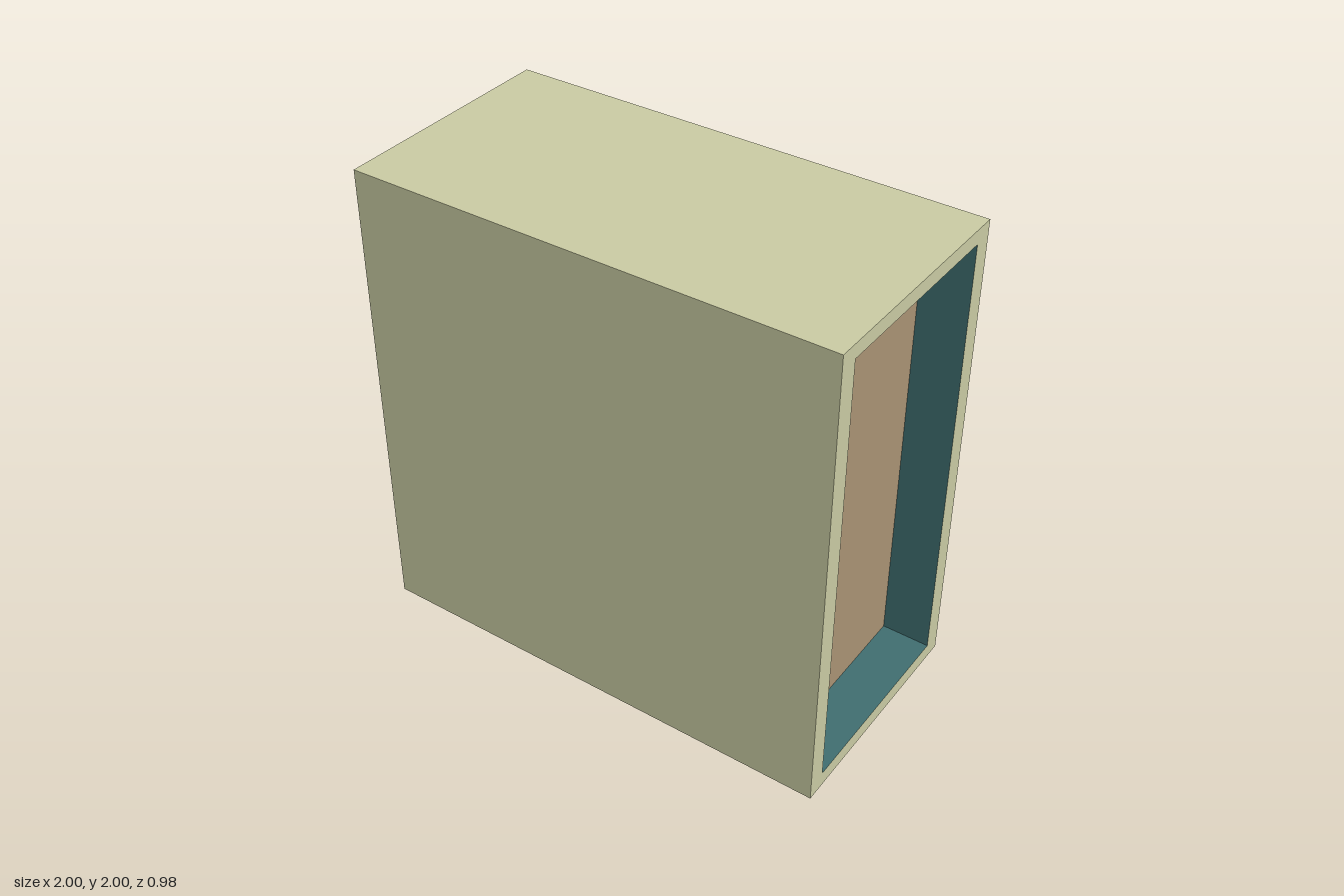
import * as THREE from 'three';

const W = 2, H = 2, D = 0.98;                 // cabinet size in x, y, z
const LOW = 0.065, HIGH = 1.94, HALF = 0.41;  // recess opening
const DEPTH = 0.2;                            // recess depth

export function createModel() {
  const model = new THREE.Group();
  model.name = 'cabinet';
  const material = (name, color) => {
    const m = new THREE.MeshStandardMaterial({ color });
    m.name = name;
    return m;
  };
  const sage = material('sage', 0xc8caa2);
  const brown = material('brown', 0xa89274);
  const teal = material('teal', 0x3f6d6f);
  const greyTeal = material('greyTeal', 0x6b8782);

  const add = (name, geometry, mat, pos, rx = 0, ry = 0) => {
    const mesh = new THREE.Mesh(geometry, mat);
    mesh.name = name;
    mesh.position.set(...pos);
    mesh.rotation.set(rx, ry, 0);
    model.add(mesh);
  };
  const panel = (name, w, h, mat, pos, rx, ry) =>
    add(name, new THREE.PlaneGeometry(w, h), mat, pos, rx, ry);
  const Q = Math.PI / 2;

  // Outer casing
  panel('frontPanel', W, H, sage, [0, H / 2, D / 2]);
  panel('backPanel', W, H, sage, [0, H / 2, -D / 2], 0, Math.PI);
  panel('topPanel', W, D, sage, [0, H, 0], -Q);
  panel('bottomPanel', W, D, sage, [0, 0, 0], Q);

  // Two-tone closed side
  panel('upperSidePanel', D, H / 2, brown, [-W / 2, H * 0.75, 0], 0, -Q);
  panel('lowerSidePanel', D, H / 2, greyTeal, [-W / 2, H * 0.25, 0], 0, -Q);

  // Rim around the recess
  const rect = (path, x, y0, y1) =>
    path.moveTo(-x, y0).lineTo(x, y0).lineTo(x, y1).lineTo(-x, y1).closePath();
  const rim = new THREE.Shape();
  rect(rim, D / 2, 0, H);
  const opening = new THREE.Path();
  rect(opening, HALF, LOW, HIGH);
  rim.holes.push(opening);
  add('recessRim', new THREE.ShapeGeometry(rim), sage, [W / 2, 0, 0], 0, Q);

  // Recess lining, facing inward
  const mid = (LOW + HIGH) / 2, tall = HIGH - LOW, cx = W / 2 - DEPTH / 2;
  panel('recessBack', HALF * 2, tall, brown, [W / 2 - DEPTH, mid, 0], 0, Q);
  panel('recessFrontWall', DEPTH, tall, teal, [cx, mid, HALF], 0, Math.PI);
  panel('recessRearWall', DEPTH, tall, teal, [cx, mid, -HALF]);
  panel('recessFloor', DEPTH, HALF * 2, teal, [cx, LOW, 0], -Q);
  panel('recessCeiling', DEPTH, HALF * 2, brown, [cx, HIGH, 0], Q);

  return model;
}
